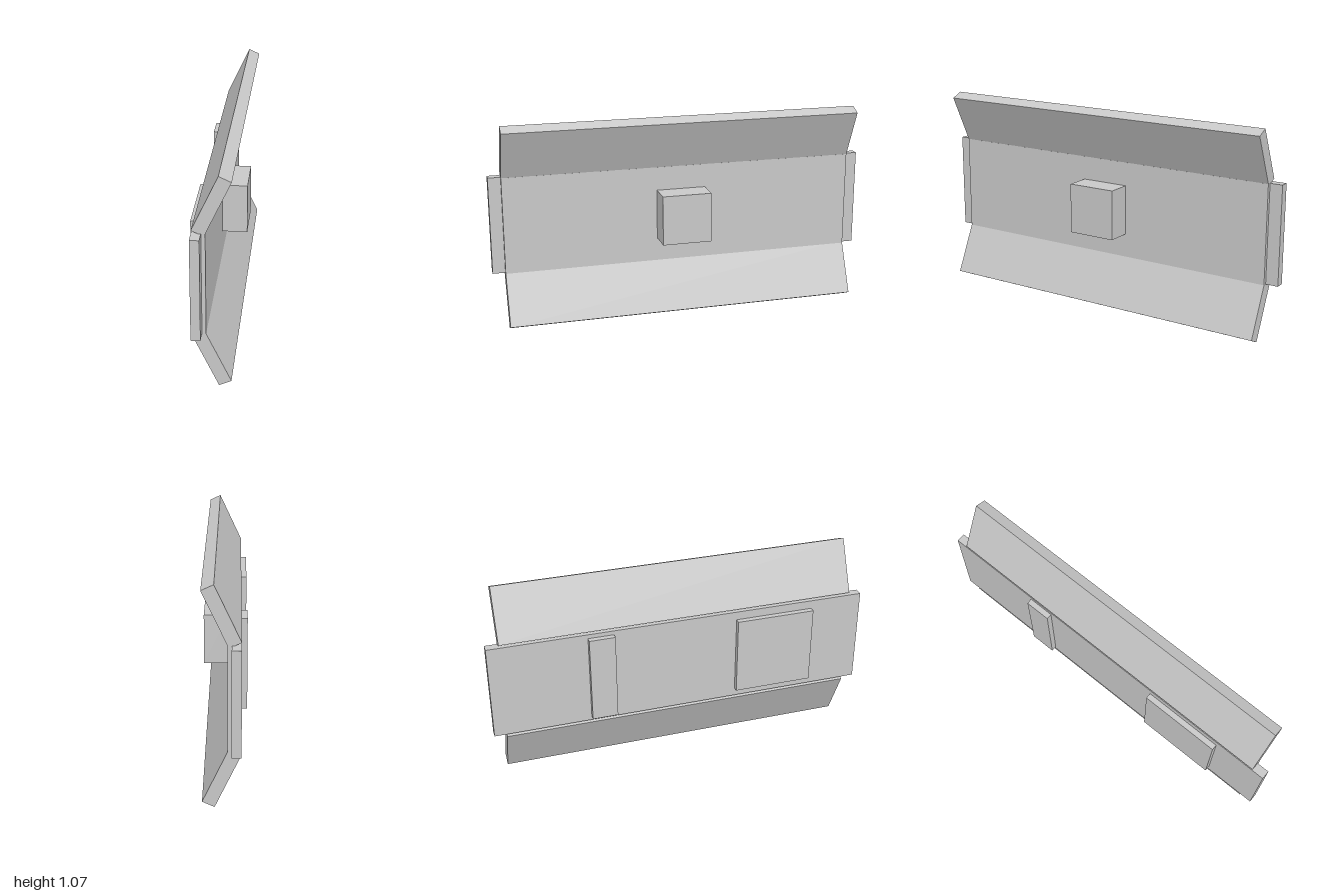
import * as THREE from 'three';

export function createModel() {
  const group = new THREE.Group();
  const grey = new THREE.MeshStandardMaterial({ color: 0xc8c8c8 });
  grey.name = 'plainGrey';

  // Box given by its min and max on each axis
  function box(name, [x0, x1], [y0, y1], [z0, z1]) {
    const mesh = new THREE.Mesh(new THREE.BoxGeometry(x1 - x0, y1 - y0, z1 - z0), grey);
    mesh.position.set((x0 + x1) / 2, (y0 + y1) / 2, (z0 + z1) / 2);
    mesh.name = name;
    group.add(mesh);
    return mesh;
  }

  const midY = 0.5345;
  const halfLength = 0.935;

  // Upright panels and the block on the inner side
  box('outerPanel', [-0.083, -0.038], [0.279, 0.79], [-1, 1]);
  box('innerPanel', [-0.038, -0.019], [0.279, 0.79], [-halfLength, halfLength]);
  box('centreBlock', [-0.019, 0.11], [0.403, 0.666], [-0.13, 0.13]);

  // Raised plates on the outer side
  box('narrowPlate', [-0.112, -0.083], [0.301, 0.768], [-0.49, -0.355]);
  box('widePlate', [-0.112, -0.083], [0.325, 0.745], [0.3, 0.72]);

  // Slanted wings, mirrored above and below the panels
  const profile = [[-0.025, 0.778], [0.098, 1.042], [0.04, 1.069], [-0.083, 0.805]];
  for (const side of [1, -1]) {
    const points = profile.map(([x, y]) => new THREE.Vector2(x, midY + side * (y - midY)));
    const geometry = new THREE.ExtrudeGeometry(new THREE.Shape(points), {
      depth: 2 * halfLength, bevelEnabled: false,
    });
    geometry.translate(0, 0, -halfLength);
    const wing = new THREE.Mesh(geometry, grey);
    wing.name = side > 0 ? 'upperWing' : 'lowerWing';
    group.add(wing);
  }
  return group;
}
